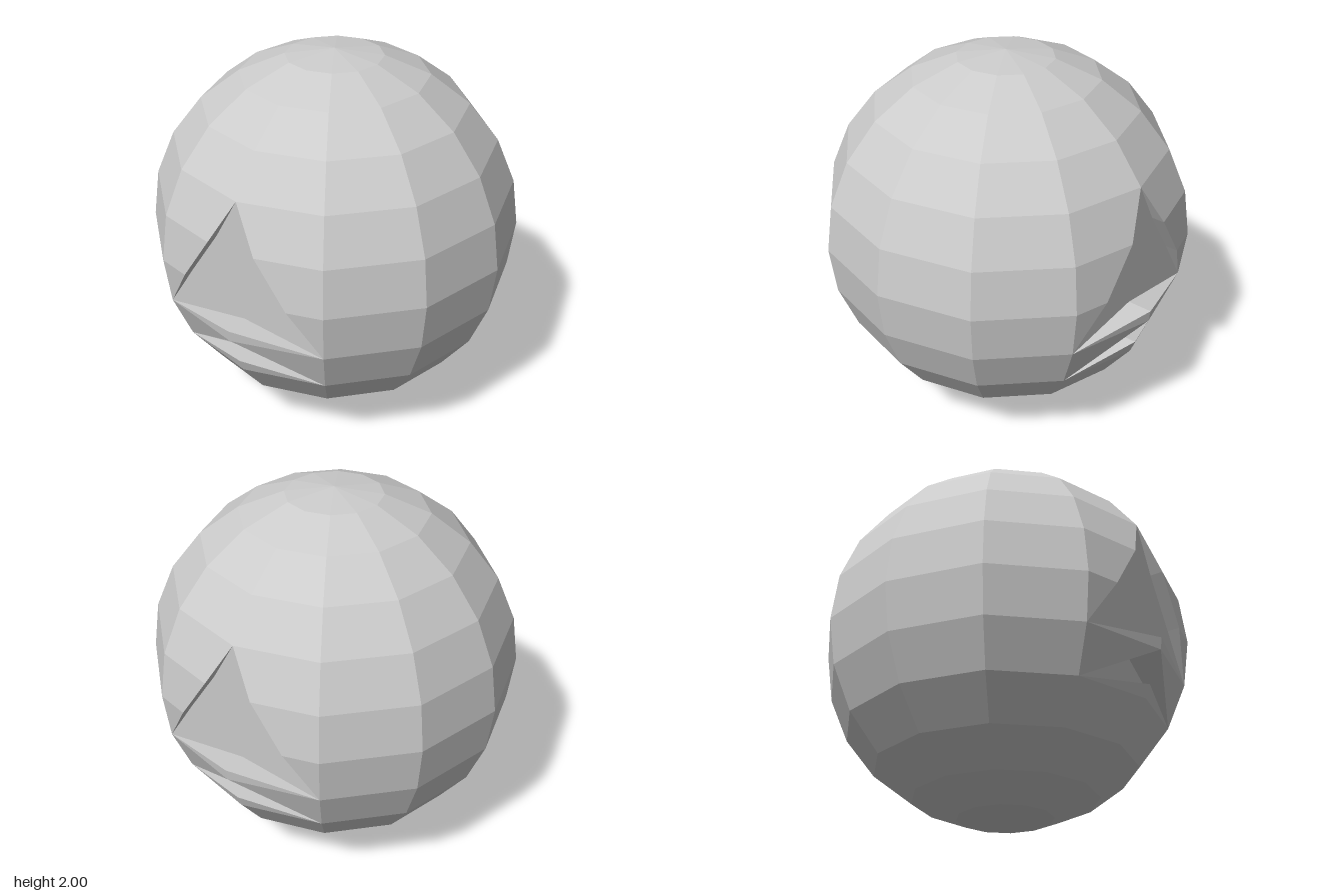
import * as THREE from 'three';

const STEP = Math.PI / 12;

// Grid point of the ball: latitude in 15 degree rings, azimuth in 30 degree columns
function ring(lat, col) {
  const r = Math.cos(lat * STEP);
  return [r * Math.cos(col * 2 * STEP), 1 + Math.sin(lat * STEP), r * Math.sin(col * 2 * STEP)];
}

// Collects flat polygons of one quarter and mirrors them in x and z
function mirroredMesh(name, polygons, material) {
  const positions = [];
  for (const sx of [1, -1]) for (const sz of [1, -1]) {
    for (const { points, facing } of polygons) {
      const v = points.map(([x, y, z]) => new THREE.Vector3(x * sx, y, z * sz));
      const dir = facing
        ? new THREE.Vector3(facing[0] * sx, facing[1], facing[2] * sz)
        : v.reduce((s, p) => s.add(p), new THREE.Vector3()).divideScalar(v.length).sub(new THREE.Vector3(0, 1, 0));
      for (let i = 1; i < v.length - 1; i++) {
        const tri = new THREE.Triangle(v[0], v[i], v[i + 1]);
        if (tri.getArea() < 1e-8) continue;
        const outward = tri.getNormal(new THREE.Vector3()).dot(dir) > 0;
        const order = outward ? [tri.a, tri.b, tri.c] : [tri.a, tri.c, tri.b];
        order.forEach((p) => positions.push(p.x, p.y, p.z));
      }
    }
  }
  const geometry = new THREE.BufferGeometry();
  geometry.setAttribute('position', new THREE.Float32BufferAttribute(positions, 3));
  geometry.computeVertexNormals();
  const mesh = new THREE.Mesh(geometry, material);
  mesh.name = name;
  return mesh;
}

export function createModel() {
  const group = new THREE.Group();
  group.name = 'notchedBall';
  const material = new THREE.MeshStandardMaterial({ color: 0xcccccc, flatShading: true, side: THREE.DoubleSide });

  // Key points of the notches, in the quarter x > 0, z > 0
  const apex = ring(2, 3);
  const corner = ring(-1, 2);
  const lowApex = ring(-1, 3);
  const lowCorner = ring(-2, 2);
  const chord = (lat, x) => { // point on the facet row beside the notch
    const a = ring(lat, 3), b = ring(lat, 2);
    return [x, a[1], a[2] + (b[2] - a[2]) * x / b[0]];
  };
  const rimHigh = chord(1, 0.14);
  const rimMid = chord(0, 0.315);

  // Faceted ball, leaving out the cells around the notches
  const ball = [];
  for (let lat = -6; lat < 6; lat++) for (let col = 0; col < 3; col++) {
    if (col === 2 && lat >= -2 && lat < 2) continue;
    ball.push({ points: [ring(lat, col), ring(lat, col + 1), ring(lat + 1, col + 1), ring(lat + 1, col)] });
  }
  // Cut cells beside the notches
  ball.push(
    { points: [ring(2, 2), apex, rimHigh, ring(1, 2)] },
    { points: [ring(1, 2), rimHigh, rimMid, ring(0, 2)] },
    { points: [ring(0, 2), rimMid, corner] },
    { points: [corner, lowApex, lowCorner] },
  );
  group.add(mirroredMesh('ball', ball, material));

  // Tall notch: flat back and side walls
  const backZ = (y) => corner[2] + (apex[2] - corner[2]) * (y - corner[1]) / (apex[1] - corner[1]);
  const toBack = ([x, y]) => [x, y, backZ(y)];
  const side = [-1, -0.6, 0];
  group.add(mirroredMesh('upperNotch', [
    { points: [apex, toBack([0, corner[1]]), corner], facing: [0, 0, 1] },
    { points: [apex, rimHigh, toBack(rimHigh)], facing: side },
    { points: [rimHigh, rimMid, toBack(rimMid), toBack(rimHigh)], facing: side },
    { points: [rimMid, corner, toBack(rimMid)], facing: side },
  ], material));

  // Low notch: overhanging roof and flat back
  const roofInner = [0, lowApex[1], 0.78];
  group.add(mirroredMesh('lowerNotch', [
    { points: [lowApex, roofInner, lowCorner], facing: [0, -1, 0] },
    { points: [roofInner, [0, lowCorner[1], lowCorner[2]], lowCorner], facing: [0, 0, 1] },
  ], material));

  // Jutting lip under each notch
  const lip = (name, end, tip, inner, base) => mirroredMesh(name, [
    { points: [end, tip, inner], facing: [0, 1, 0] },
    { points: [end, tip, base], facing: [0, 0, 1] },
  ], material);
  group.add(lip('upperLip', corner, [0, 0.805, 0.975], [0, 0.805, backZ(0.805)], lowApex));
  group.add(lip('lowerLip', lowCorner, [0, 0.57, 0.893], [0, 0.57, 0.76], ring(-2, 3)));
  return group;
}
